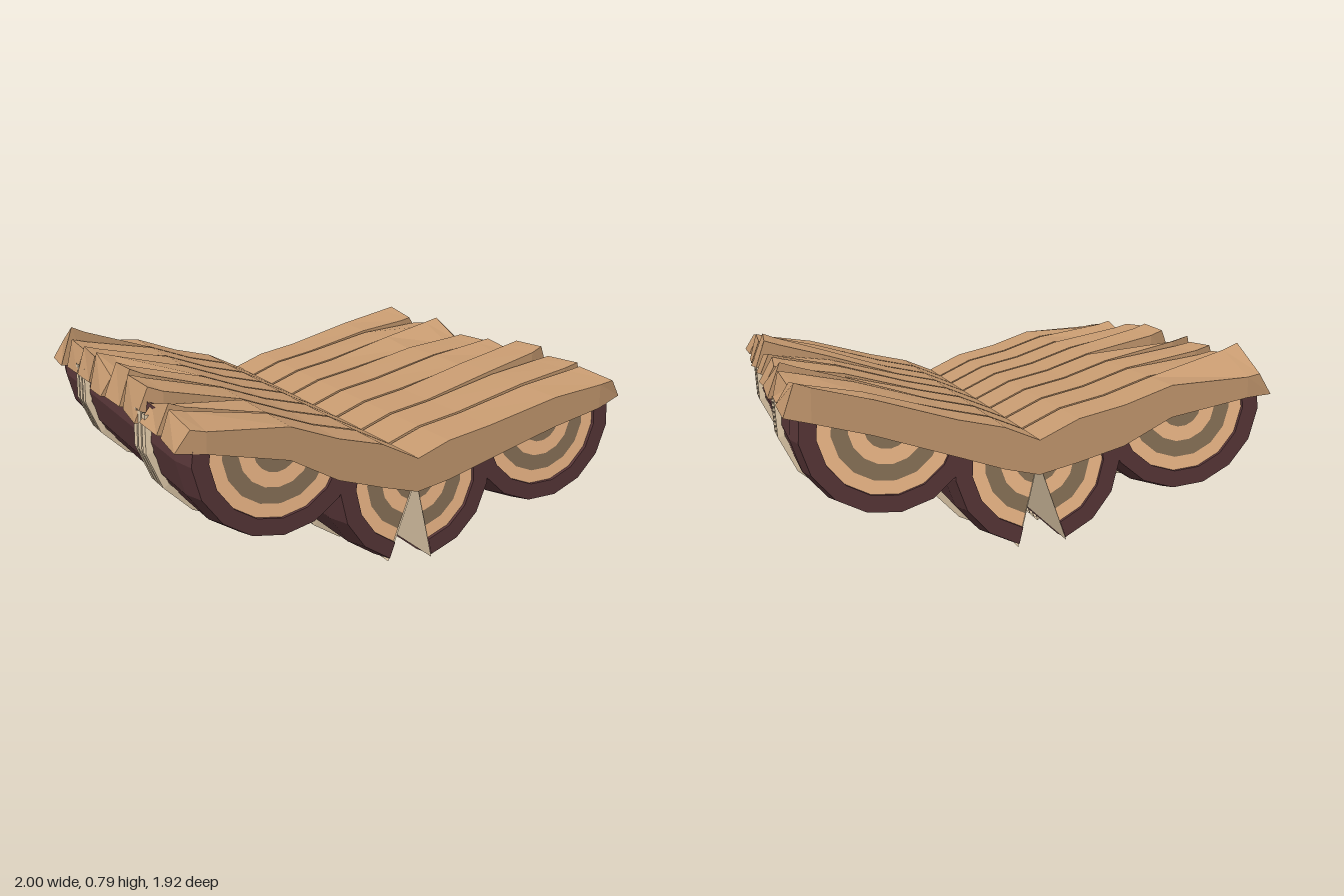
import * as THREE from 'three';

const RAD = Math.PI / 180;
const mat = (color) => new THREE.MeshStandardMaterial({ color, flatShading: true, side: THREE.DoubleSide });
const bark = mat(0x583638), paleWood = mat(0xf8c08e), darkWood = mat(0x8c755a);
const rope = mat(0xe6cfae), cutWood = mat(0xe6cfae), plankWood = mat(0xc5996f);

// Small seeded generator for the rough plank ends
let seed = 11;
const rand = (lo, hi) => {
  seed = (seed * 16807) % 2147483647;
  return lo + (hi - lo) * (seed / 2147483647);
};

function add(parent, name, geometry, material) {
  const mesh = new THREE.Mesh(geometry, material);
  mesh.name = name;
  parent.add(mesh);
}

// Part of a turned shape lying along z; angles are measured from straight down towards +x
function sweep(profile, from, to) {
  const points = profile.map(([r, z]) => new THREE.Vector2(r, z));
  const segments = Math.round((to - from) / 22.5);
  return new THREE.LatheGeometry(points, segments, from * RAD, (to - from) * RAD).rotateX(Math.PI / 2);
}

// Flat lengthwise face running from the log's axis out to its bark
function splitFace(angle) {
  return new THREE.PlaneGeometry(0.352, 1.89).rotateX(-Math.PI / 2)
    .translate(0.176, 0, 0).rotateZ((angle - 90) * RAD);
}

// A half or quarter log with growth rings and two rope lashings
function makeLog(name, x, y, from, to, fromMaterial, toMaterial) {
  const log = new THREE.Group();
  log.name = name;
  log.position.set(x, y, 0);
  add(log, 'bark', sweep([[0.27, -0.935], [0.27, -0.95], [0.338, -0.95], [0.36, -0.83],
    [0.36, 0.83], [0.338, 0.95], [0.27, 0.95], [0.27, 0.935]], from, to), bark);

  // Growth rings on both ends
  const radii = [0, 0.09, 0.15, 0.215, 0.27];
  for (let i = 0; i < 4; i++) {
    const inner = radii[i], outer = radii[i + 1], wood = i % 2 ? paleWood : darkWood;
    add(log, 'frontGrowthRing', sweep([[outer, 0.935], [inner, 0.935]], from, to), wood);
    add(log, 'backGrowthRing', sweep([[inner, -0.935], [outer, -0.935]], from, to), wood);
  }

  // Lashings of three strands each, ending under the deck
  const ropeFrom = fromMaterial === bark ? from + 6 : from;
  const ropeTo = toMaterial === bark ? to - 6 : to;
  for (const side of [-1, 1]) {
    const profile = [];
    for (const strand of [-1, 0, 1]) {
      const z = side * 0.4615 + strand * 0.055;
      profile.push([0.358, z - 0.027], [0.387, z - 0.02], [0.387, z + 0.02], [0.358, z + 0.027]);
    }
    add(log, 'ropeLashing', sweep(profile, ropeFrom, ropeTo), rope);
  }
  add(log, 'splitFace', splitFace(from), fromMaterial);
  add(log, 'splitFace', splitFace(to), toMaterial);
  return log;
}

// Plank profile between the ends: x, top height, bottom height
const STATIONS = [
  [-0.88, 0.725, 0.595], [-0.55, 0.66, 0.53], [-0.35, 0.59, 0.425], [-0.16, 0.545, 0.37],
  [0, 0.468, 0.33], [0.14, 0.525, 0.36], [0.33, 0.565, 0.42], [0.65, 0.655, 0.52], [0.88, 0.705, 0.577],
];

// Deck planks from back to front: end heights and how far each end's corners are hewn down
const PLANKS = [
  { right: { top: 0.79, back: 0.1, front: 0 }, left: { top: 0.73, back: 0, front: 0.03 } },
  { right: { top: 0.735, back: 0, front: 0.01 }, left: { top: 0.72, back: 0.045, front: 0.01 } },
  { right: { top: 0.765, back: 0.02, front: 0.03 }, left: { top: 0.74, back: 0, front: 0.09 } },
  { right: { top: 0.76, back: 0, front: 0.07 }, left: { top: 0.71, back: 0.02, front: 0.01 } },
  { right: { top: 0.77, back: 0.01, front: 0 }, left: { top: 0.72, back: 0.01, front: 0.04 } },
  { right: { top: 0.755, back: 0, front: 0.01 }, left: { top: 0.75, back: 0.01, front: 0 } },
  { right: { top: 0.735, back: 0.05, front: 0 }, left: { top: 0.72, back: 0.01, front: 0 } },
  { right: { top: 0.72, back: 0, front: 0.03 }, left: { top: 0.71, back: 0, front: 0.02 } },
];

// A bent plank with roughly hewn ends
function plankGeometry(z0, z1, { right, left }) {
  const positions = [], index = [];
  // Corners of a section: back top, front top, front bottom, back bottom
  const tip = (sign, { top, back, front }) => positions.push(
    sign * rand(0.935, 0.96), top - back, z0 + rand(0, 0.015),
    sign * rand(0.935, 0.96), top - front, z1 - rand(0, 0.015),
    sign * rand(0.98, 1), 0.6 + rand(-0.01, 0.02), z1 - rand(0, 0.035),
    sign * rand(0.98, 1), 0.6 + rand(-0.01, 0.02), z0 + rand(0, 0.035));

  tip(-1, right);
  STATIONS.forEach(([x, top, bottom]) => {
    // Raise and hew the top gradually towards each tip
    const end = x < 0 ? right : left;
    const near = Math.max(0, (Math.abs(x) - 0.55) / 0.4);
    const y = top + (end.top - (x < 0 ? 0.745 : 0.722)) * near;
    positions.push(x, y - end.back * near, z0, x, y - end.front * near, z1, x, bottom, z1, x, bottom, z0);
  });
  tip(1, left);

  const e = (STATIONS.length + 1) * 4;
  for (let s = 0; s < e; s += 4) {
    for (let k = 0; k < 4; k++) {
      const a = s + k, b = s + (k + 1) % 4;
      index.push(a, b, b + 4, a, b + 4, a + 4);
    }
  }
  index.push(0, 2, 1, 0, 3, 2, e, e + 1, e + 2, e, e + 2, e + 3);
  const indexed = new THREE.BufferGeometry();
  indexed.setAttribute('position', new THREE.Float32BufferAttribute(positions, 3));
  indexed.setIndex(index);
  const geometry = indexed.toNonIndexed();
  geometry.computeVertexNormals();
  return geometry;
}

export function createModel() {
  const raft = new THREE.Group();
  raft.name = 'brokenRaft';

  // Outer half logs and the middle log split open along its length
  raft.add(
    makeLog('rightLog', -0.6, 0.575, -108, 72, bark, bark),
    makeLog('leftLog', 0.595, 0.55, -76, 104, bark, bark),
    makeLog('middleLogRightPart', 0, 0.382, -110, -20, bark, cutWood),
    makeLog('middleLogLeftPart', 0, 0.38, 13, 103, cutWood, bark),
  );

  const deck = new THREE.Group();
  deck.name = 'deck';
  PLANKS.forEach((ends, i) => {
    const z0 = -0.965 + i * 0.2426;
    add(deck, 'plank', plankGeometry(z0, z0 + 0.225, ends), plankWood);
  });
  raft.add(deck);
  return raft;
}
